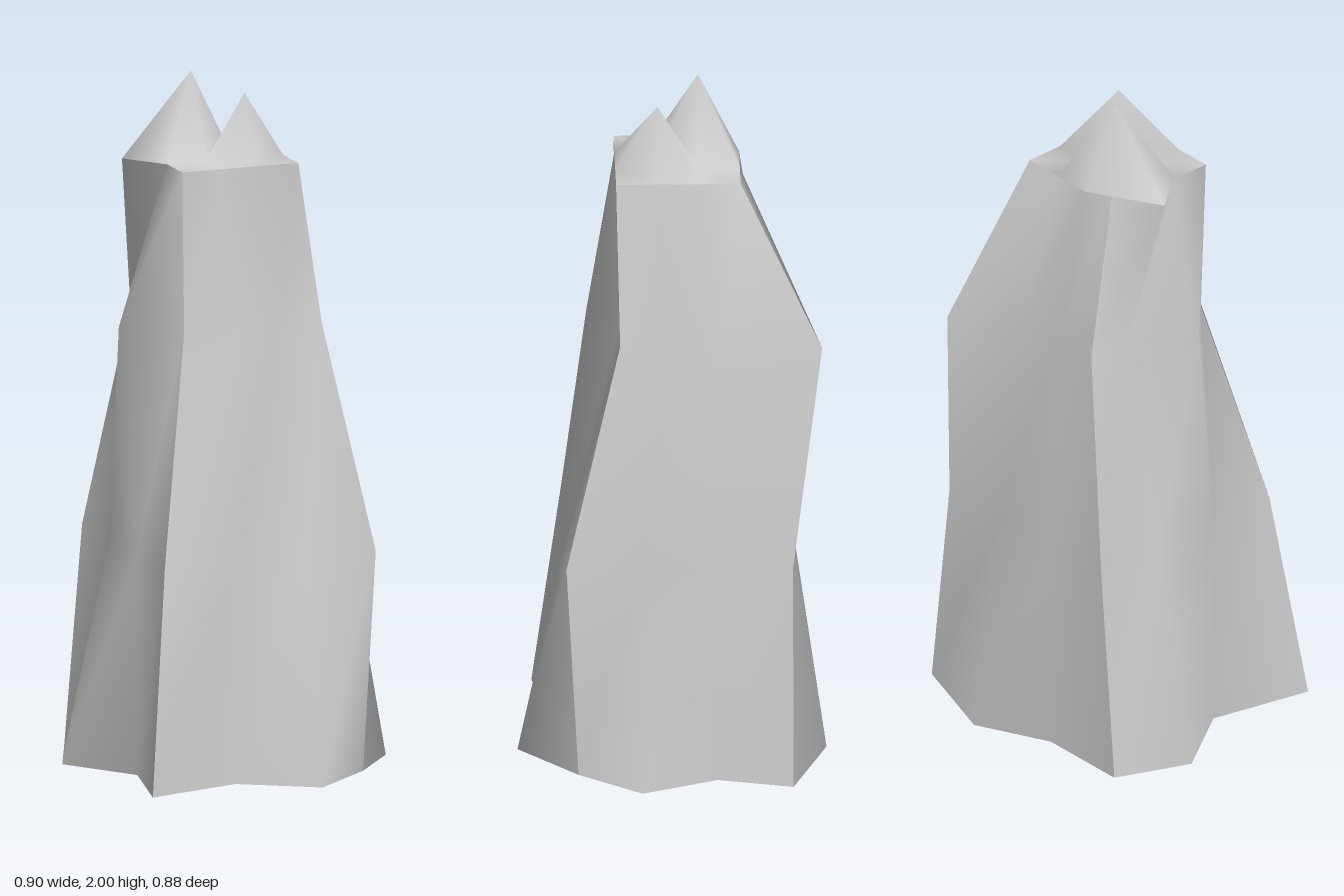
import * as THREE from 'three';

// Tapering square sections of the pillar, bottom to top: height, x range, z range
const levels = [
  { y: 0, x: [-0.31, 0.335], z: [-0.34, 0.305] },
  { y: 0.645, x: [-0.31, 0.335], z: [-0.34, 0.305] },
  { y: 1.29, x: [-0.19, 0.23], z: [-0.27, 0.15] },
  { y: 1.76, x: [-0.2, 0.155], z: [-0.195, 0.16] },
];

// Points pushed off the regular grid, keyed by column, level, row
const pushed = {
  // spreading foot
  '0,0,3': [-0.38, 0, 0.39],
  '2,0,3': [0.12, 0, 0.44],
  '3,0,3': [0.31, 0, 0.27],
  '3,0,2': [0.45, 0, 0.09],
  '3,0,1': [0.355, 0, -0.125],
  '3,0,0': [0.41, 0, -0.34],
  '2,0,0': [0.12, 0, -0.44],
  '0,0,0': [-0.365, 0, -0.34],
  '0,0,1': [-0.455, 0, -0.125],
  // bulging shoulder
  '1,2,3': [-0.05, 1.29, 0.24],
  '3,2,1': [0.33, 1.29, -0.13],
  '3,2,0': [0.25, 1.29, -0.425],
  '0,2,2': [-0.335, 1.29, 0.01],
  // rim and the two peaks
  '0,3,1': [-0.29, 1.76, -0.08],
  '0,3,0': [-0.14, 1.76, -0.145],
  '1,3,1': [-0.08, 2, -0.078],
  '2,3,2': [0.037, 1.95, 0.04],
};

export function createModel() {
  const geometry = new THREE.BoxGeometry(3, 3, 3, 3, 3, 3);
  const position = geometry.attributes.position;

  // Each side keeps its own vertices, so it is smooth inside and sharp at its border
  for (let n = 0; n < position.count; n++) {
    const [i, j, k] = [position.getX(n), position.getY(n), position.getZ(n)].map((v) => Math.round(v + 1.5));
    const level = levels[j];
    const point = pushed[`${i},${j},${k}`] ?? [
      THREE.MathUtils.lerp(...level.x, i / 3),
      level.y,
      THREE.MathUtils.lerp(...level.z, k / 3),
    ];
    position.setXYZ(n, ...point);
  }
  geometry.computeVertexNormals();

  const rock = new THREE.Mesh(geometry, new THREE.MeshStandardMaterial({ color: 0xcccccc }));
  rock.name = 'rockPillar';

  const model = new THREE.Group();
  model.name = 'rock';
  model.add(rock);
  return model;
}
